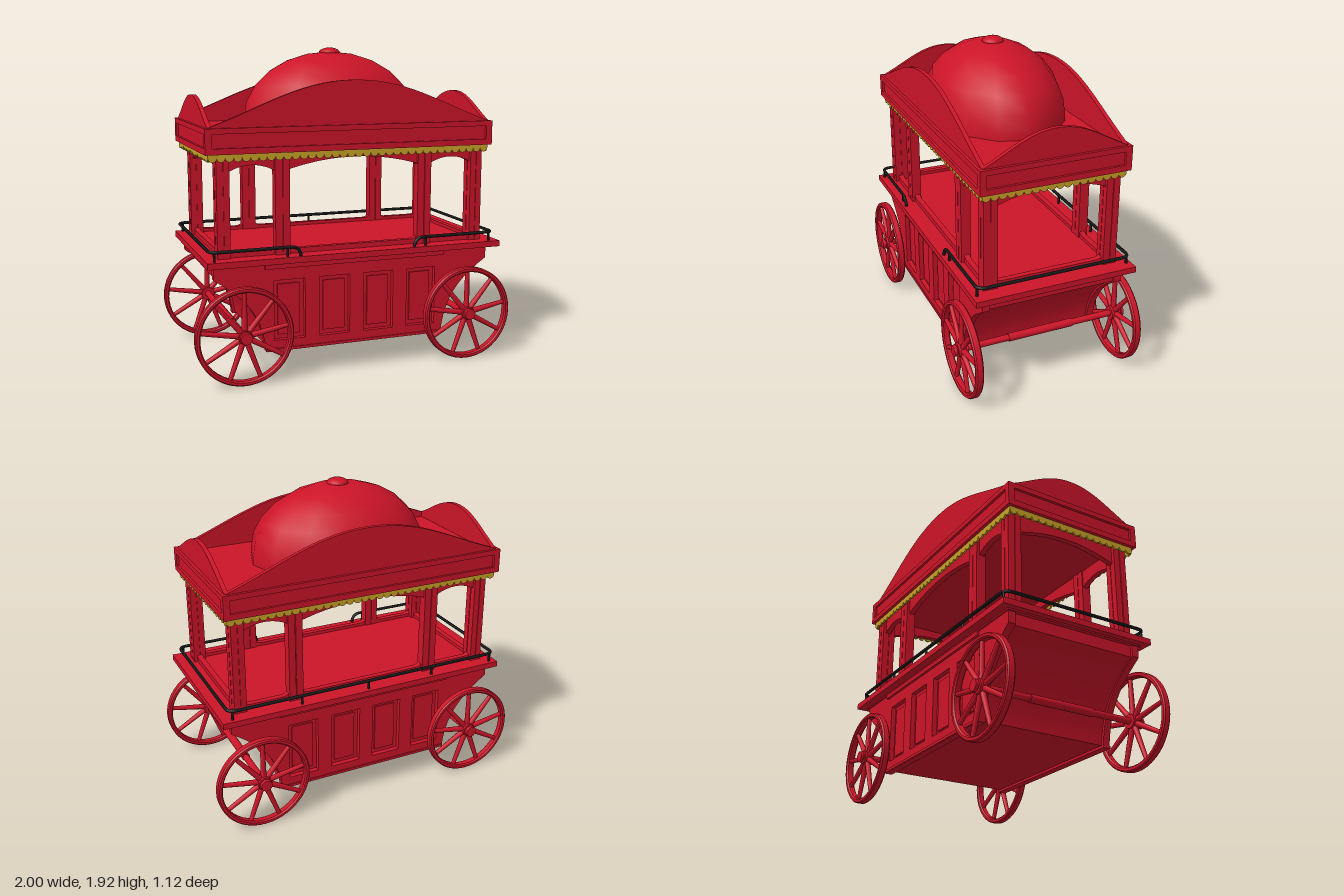
import * as THREE from 'three';
import { toCreasedNormals } from 'three/addons/utils/BufferGeometryUtils.js';

const red = new THREE.MeshStandardMaterial({ color: 0xcc1428, side: THREE.DoubleSide });
const gold = new THREE.MeshStandardMaterial({ color: 0xc9a227, side: THREE.DoubleSide });
const black = new THREE.MeshStandardMaterial({ color: 0x151515 });

function add(parent, name, geo, x = 0, y = 0, z = 0, mat = red) {
  const m = new THREE.Mesh(geo, mat);
  m.name = name;
  m.position.set(x, y, z);
  parent.add(m);
  return m;
}
const box = (w, h, d) => new THREE.BoxGeometry(w, h, d);
// extrusion centred on its own depth
function slab(shape, depth, segs = 10) {
  const g = new THREE.ExtrudeGeometry(shape, { depth, bevelEnabled: false, curveSegments: segs });
  g.translate(0, 0, -depth / 2);
  return toCreasedNormals(g, 0.5);
}
function rectHole(x, y, w, h) {
  return new THREE.Path([[x, y], [x, y + h], [x + w, y + h], [x + w, y]].map(p => new THREE.Vector2(...p)));
}
// a group turned so that its local +z faces outwards
function face(parent, name, angle) {
  const g = new THREE.Group();
  g.name = name;
  g.rotation.y = angle;
  parent.add(g);
  return g;
}

// hull outline with ends that sweep inwards to the keel
function hullShape(inset) {
  const s = new THREE.Shape(), t = 0.87 - inset, b = 0.565 - inset, y = 0.165 + inset;
  s.moveTo(-b, y);
  s.lineTo(b, y);
  s.bezierCurveTo(b + 0.02, 0.38, 0.68 - inset, 0.5, t, 0.62);
  s.lineTo(t, 0.71);
  s.lineTo(-t, 0.71);
  s.lineTo(-t, 0.62);
  s.bezierCurveTo(-0.68 + inset, 0.5, -b - 0.02, 0.38, -b, y);
  return s;
}

function buildBody(root) {
  const body = face(root, 'body', 0);
  add(body, 'hull', slab(hullShape(0.015), 0.82));
  for (const a of [0, Math.PI]) {
    const side = face(body, 'sidePanel', a);
    const s = hullShape(0);
    for (let i = 0; i < 4; i++) s.holes.push(rectHole(-0.515 + i * 0.281, 0.23, 0.19, 0.36));
    add(side, 'panelFrame', slab(s, 0.045), 0, 0, 0.4175);
    for (let i = 0; i < 4; i++) add(side, 'raisedPanel', box(0.135, 0.305, 0.012), -0.42 + i * 0.281, 0.41, 0.414);
    add(side, 'topMoulding', box(1.14, 0.025, 0.02), 0, 0.675, 0.445);
    add(side, 'bottomMoulding', box(1.13, 0.016, 0.014), 0, 0.174, 0.44);
  }
  add(body, 'counter', box(1.85, 0.036, 1.0), 0.01, 0.717, 0);
  add(body, 'counterLip', box(1.76, 0.02, 0.9), 0, 0.7, 0);
  add(body, 'floor', box(1.6, 0.012, 0.76), 0, 0.738, 0);
}

// arched head and low sill filling one bay between posts
function addBay(parent, x, w, rise) {
  const h = w / 2, arch = new THREE.Shape();
  arch.moveTo(-h, 1.36);
  arch.lineTo(-h, 1.225);
  arch.lineTo(-h + 0.015, 1.235);
  arch.quadraticCurveTo(0, 1.235 + rise * 2, h - 0.015, 1.235);
  arch.lineTo(h, 1.225);
  arch.lineTo(h, 1.36);
  add(parent, 'archedHead', slab(arch, 0.035), x, 0, 0);
  const sill = new THREE.Shape();
  sill.moveTo(-h, 0.73);
  sill.lineTo(h, 0.73);
  sill.lineTo(h, 0.79);
  sill.quadraticCurveTo(h - 0.005, 0.768, h - 0.04, 0.765);
  sill.lineTo(-h + 0.04, 0.765);
  sill.quadraticCurveTo(-h + 0.005, 0.768, -h, 0.79);
  add(parent, 'sill', slab(sill, 0.035), x, 0, 0);
}

function buildCanopyFrame(root) {
  const frame = face(root, 'canopyFrame', 0);
  for (const sx of [-1, 1]) for (const sz of [-1, 1]) {
    // corner posts are clusters of four, inner posts are split by a groove
    for (const dx of [-0.02, 0.02]) {
      for (const dz of [-0.0225, 0.0225]) add(frame, 'cornerPost', box(0.036, 0.63, 0.04), sx * 0.8 + dx, 1.045, sz * 0.375 + dz);
      add(frame, 'innerPost', box(0.042, 0.63, 0.06), sx * 0.45 + dx * 1.15, 1.045, sz * 0.385);
    }
    add(frame, 'cornerPostCore', box(0.066, 0.63, 0.075), sx * 0.8, 1.045, sz * 0.375);
    add(frame, 'innerPostCore', box(0.07, 0.63, 0.046), sx * 0.45, 1.045, sz * 0.385);
  }
  for (const a of [0, Math.PI]) {
    const g = face(frame, 'longBays', a);
    g.position.z = Math.cos(a) * 0.38;
    addBay(g, 0, 0.82, 0.055);
    for (const s of [-1, 1]) addBay(g, s * 0.63, 0.28, 0.03);
  }
  for (const s of [-1, 1]) {
    const g = face(frame, 'endBay', s * Math.PI / 2);
    g.position.x = s * 0.8;
    addBay(g, 0, 0.68, 0.055);
  }
}

function scallops(width, n) {
  const s = new THREE.Shape(), w = width / n;
  s.moveTo(-width / 2, 1.345);
  s.lineTo(-width / 2, 1.315);
  for (let i = 0; i < n; i++) s.absarc(-width / 2 + (i + 0.5) * w, 1.315, w / 2, Math.PI, Math.PI * 2, false);
  s.lineTo(width / 2, 1.345);
  return slab(s, 0.012, 4);
}

function gable(half, crest) {
  const s = new THREE.Shape();
  s.moveTo(-half, 1.44);
  s.lineTo(half, 1.44);
  s.lineTo(half, 1.485);
  const r = crest - 1.485;
  s.bezierCurveTo(half * 0.62, 1.485 + r * 0.45, half * 0.38, crest, 0, crest);
  s.bezierCurveTo(-half * 0.38, crest, -half * 0.62, 1.485 + r * 0.45, -half, 1.485);
  return slab(s, 0.026, 14);
}

function buildRoof(root) {
  const roof = face(root, 'roof', 0);
  roof.position.x = -0.01;
  add(roof, 'roofDeck', box(1.75, 0.115, 0.87), 0, 1.4, 0);
  const sides = [[0, 1.79, 0.455, 1.74, 36], [Math.PI, 1.79, 0.455, 1.74, 36],
    [Math.PI / 2, 0.91, 0.895, 1.65, 18], [-Math.PI / 2, 0.91, 0.895, 1.65, 18]];
  for (const [a, w, out, crest, n] of sides) {
    const g = face(roof, 'roofSide', a);
    const rim = new THREE.Shape([[-1, 1.335], [1, 1.335], [1, 1.482], [-1, 1.482]].map(p => new THREE.Vector2(p[0] * w / 2, p[1])));
    rim.holes.push(rectHole(-w / 2 + 0.04, 1.37, w - 0.08, 0.08));
    add(g, 'fasciaFrame', slab(rim, 0.02), 0, 0, out - 0.01);
    add(g, 'fasciaPanel', box(w - 0.03, 0.14, 0.02), 0, 1.412, out - 0.025);
    add(g, 'gable', gable(w / 2 - 0.025, crest), 0, 0, out - 0.03);
    add(g, 'scallopedTrim', scallops(w - 0.04, n), 0, 0, out - 0.025, gold);
  }
  // fourteen-sided oval dome and its button
  const profile = [[1, -0.05]];
  for (let i = 0; i <= 6; i++) {
    const t = i / 6 * Math.PI / 2;
    profile.push([Math.cos(t), Math.sin(t) * 0.405]);
  }
  const dome = new THREE.LatheGeometry(profile.map(p => new THREE.Vector2(Math.max(p[0], 0), p[1])), 14, Math.PI / 2);
  dome.scale(0.553, 1, 0.411);
  add(roof, 'dome', dome, -0.005, 1.495, 0);
  const knob = new THREE.SphereGeometry(0.066, 18, 10);
  knob.scale(1, 0.48, 1);
  add(roof, 'domeButton', knob, -0.005, 1.893, 0);
}

// handrail: full run around the back and ends, open in the middle of the front
function buildRail(root) {
  const rail = face(root, 'handrail', 0);
  const X = 0.895, Z = 0.475, Y = 0.79, c = 0.05;
  const V = (x, y, z) => new THREE.Vector3(x, y, z);
  const path = new THREE.CurvePath();
  const line = (a, b) => path.add(new THREE.LineCurve3(a, b));
  const bend = (a, b, d) => path.add(new THREE.QuadraticBezierCurve3(a, b, d));
  bend(V(-0.36, 0.73, Z), V(-0.365, Y, Z), V(-0.42, Y, Z));
  line(V(-0.42, Y, Z), V(-X + c, Y, Z));
  bend(V(-X + c, Y, Z), V(-X, Y, Z), V(-X, Y, Z - c));
  line(V(-X, Y, Z - c), V(-X, Y, -Z + c));
  bend(V(-X, Y, -Z + c), V(-X, Y, -Z), V(-X + c, Y, -Z));
  line(V(-X + c, Y, -Z), V(X - c, Y, -Z));
  bend(V(X - c, Y, -Z), V(X, Y, -Z), V(X, Y, -Z + c));
  line(V(X, Y, -Z + c), V(X, Y, Z - c));
  bend(V(X, Y, Z - c), V(X, Y, Z), V(X - c, Y, Z));
  line(V(X - c, Y, Z), V(0.42, Y, Z));
  bend(V(0.42, Y, Z), V(0.365, Y, Z), V(0.36, 0.73, Z));
  add(rail, 'railBar', new THREE.TubeGeometry(path, 320, 0.01, 8), 0, 0, 0, black);
  for (const [x, z] of [[-0.87, Z], [-0.44, Z], [0.44, Z], [0.87, Z], [-0.87, -Z], [-0.44, -Z], [0, -Z], [0.44, -Z], [0.87, -Z]])
    add(rail, 'railPost', new THREE.CylinderGeometry(0.008, 0.008, 0.06, 8), x, 0.76, z * 0.99, black);
}

function buildWheel(parent, x, s) {
  const wheel = face(parent, 'wheel', s > 0 ? 0 : Math.PI);
  wheel.position.set(x, 0.295, s * 0.505);
  const ring = [[0.26, -0.016], [0.268, -0.024], [0.283, -0.024], [0.29, -0.016], [0.29, 0.016], [0.283, 0.024], [0.268, 0.024], [0.26, 0.016], [0.26, -0.016]];
  const rim = toCreasedNormals(new THREE.LatheGeometry(ring.map(p => new THREE.Vector2(...p)), 48), 0.6);
  add(wheel, 'rim', rim.rotateX(Math.PI / 2));
  for (let i = 0; i < 9; i++) {
    const spoke = new THREE.CylinderGeometry(0.013, 0.018, 0.24, 10);
    spoke.translate(0, 0.15, 0).rotateZ(i * Math.PI * 2 / 9);
    add(wheel, 'spoke', spoke);
  }
  add(wheel, 'hub', new THREE.CylinderGeometry(0.042, 0.042, 0.06, 20).rotateX(Math.PI / 2));
  add(wheel, 'hubNeck', new THREE.CylinderGeometry(0.025, 0.025, 0.05, 16).rotateX(Math.PI / 2), 0, 0, 0.025);
  add(wheel, 'hubCap', new THREE.CylinderGeometry(0.034, 0.036, 0.018, 20).rotateX(Math.PI / 2), 0, 0, 0.046);
}

export function createModel() {
  const root = new THREE.Group();
  root.name = 'vendingCart';
  buildBody(root);
  buildCanopyFrame(root);
  buildRoof(root);
  buildRail(root);
  for (const x of [-0.71, 0.71]) {
    add(root, 'axle', new THREE.CylinderGeometry(0.02, 0.02, 1.0, 14).rotateX(Math.PI / 2), x, 0.295, 0);
    add(root, 'axleSleeve', new THREE.CylinderGeometry(0.025, 0.025, 0.42, 14).rotateX(Math.PI / 2), x, 0.295, 0);
    for (const s of [-1, 1]) buildWheel(root, x, s);
  }
  return root;
}
